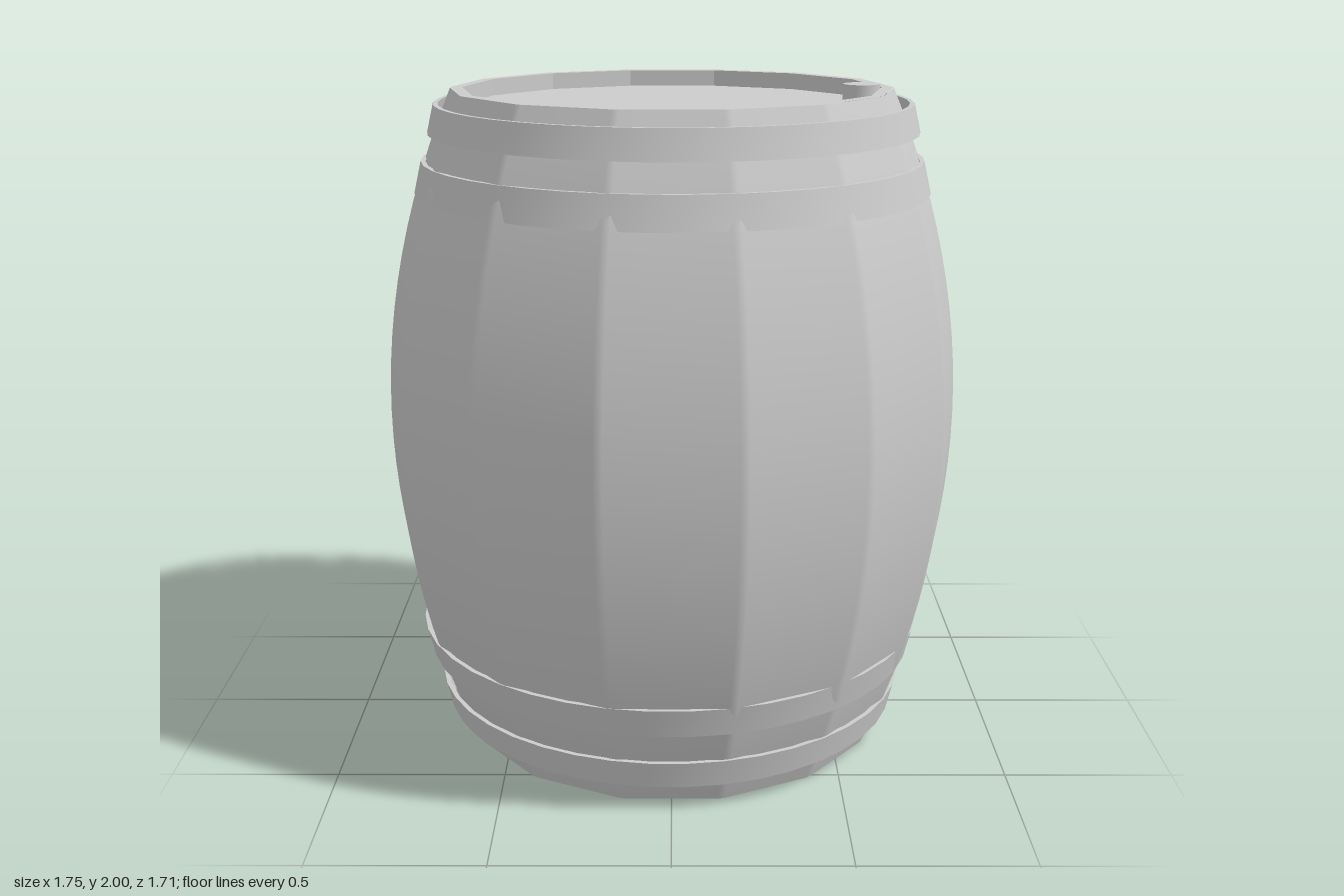
import * as THREE from 'three';
import { toCreasedNormals } from 'three/addons/utils/BufferGeometryUtils.js';

const SIDES = 14, TOP = 1.99;
const RAD = Math.PI / 180;

// Barrel radius at the stave corners for a given height
const bulge = (y) => 0.657 + 0.22 * (1 - (y / (TOP / 2) - 1) ** 2);

// Joins rows of points; closeRows / closeCols wrap the grid around
function grid(rows, closeRows, closeCols, caps) {
  const n = rows.length, m = rows[0].length, index = [];
  for (let i = 0; i < (closeRows ? n : n - 1); i++) {
    for (let j = 0; j < (closeCols ? m : m - 1); j++) {
      const i2 = (i + 1) % n, j2 = (j + 1) % m;
      const a = i * m + j, b = i2 * m + j, c = i2 * m + j2, d = i * m + j2;
      index.push(a, b, c, a, c, d);
    }
  }
  if (caps) {
    const e = (n - 1) * m;
    index.push(0, 1, 2, 0, 2, 3, e, e + 2, e + 1, e, e + 3, e + 2);
  }
  const geo = new THREE.BufferGeometry();
  geo.setAttribute('position', new THREE.Float32BufferAttribute(rows.flat(2), 3));
  geo.setIndex(index);
  geo.computeVertexNormals();
  return geo;
}

// Fourteen flat staves with softened corners, bulging in the middle
function staves() {
  const rows = [], levels = 24, soft = 0.035;
  const corner = (k) => [Math.cos(k * 2 * Math.PI / SIDES), -Math.sin(k * 2 * Math.PI / SIDES)];
  for (let k = 0; k < SIDES; k++) {
    const p = corner(k), q = corner(k + 1);
    for (const t of [soft, 1 - soft]) {
      const x = p[0] + (q[0] - p[0]) * t, z = p[1] + (q[1] - p[1]) * t;
      rows.push(Array.from({ length: levels + 1 }, (_, l) => {
        const y = TOP * l / levels, r = bulge(y);
        return [x * r, y, z * r];
      }));
    }
  }
  return grid(rows, true, false, false);
}

// Split metal band: xs and zs are [min, max] at the wide edge
function hoop({ y0, y1, xs, zs, taper, seam, gap, spring }) {
  const rows = [], steps = 42, thick = 0.014;
  const cx = (xs[0] + xs[1]) / 2, rx = (xs[1] - xs[0]) / 2;
  const cz = (zs[0] + zs[1]) / 2, rz = (zs[1] - zs[0]) / 2;
  for (let i = 0; i <= steps; i++) {
    const turn = gap / 2 + (360 - gap) * i / steps;
    const a = (seam + turn) * RAD;
    const lift = spring * Math.max(0, 1 - turn / 35);
    const at = (y, inset) => [
      cx + Math.cos(a) * (rx + lift - inset), y, cz - Math.sin(a) * (rz + lift - inset)];
    const low = Math.max(0, -taper), high = Math.max(0, taper);
    rows.push([at(y0, low), at(y1, high), at(y1, high + thick), at(y0, low + thick)]);
  }
  return toCreasedNormals(grid(rows, false, true, true), 0.6);
}

export function createModel() {
  const model = new THREE.Group();
  const material = new THREE.MeshStandardMaterial({ color: 0xcccccc });
  const flat = new THREE.MeshStandardMaterial({ color: 0xcccccc, flatShading: true });
  const add = (name, geo, mat = material) => {
    const mesh = new THREE.Mesh(geo, mat);
    mesh.name = name;
    model.add(mesh);
    return mesh;
  };

  add('staves', staves());

  // Rim around the recessed lid
  const rim = [[0.655, TOP], [0.62, TOP], [0.62, 1.935]].map(([r, y]) => new THREE.Vector2(r, y));
  add('rim', new THREE.LatheGeometry(rim, SIDES).rotateY(Math.PI / 2), flat);
  add('lid', new THREE.CircleGeometry(0.622, SIDES).rotateX(-Math.PI / 2)).position.y = 1.94;
  add('base', new THREE.CircleGeometry(0.656, SIDES).rotateX(Math.PI / 2));

  // Bung near the edge of the lid
  add('bung', toCreasedNormals(new THREE.CylinderGeometry(0.055, 0.055, 0.065, 16), 0.6))
    .position.set(0.56, 1.9675, 0.005);

  // Four hoops, narrowing toward the ends of the barrel
  const hoops = [
    { name: 'topHoop', y0: 1.865, y1: 1.95, xs: [-0.725, 0.735], zs: [-0.757, 0.726], taper: 0.02, seam: 140, gap: 4, spring: 0.025 },
    { name: 'upperHoop', y0: 1.69, y1: 1.785, xs: [-0.768, 0.772], zs: [-0.795, 0.765], taper: 0.022, seam: 51, gap: 0.8, spring: 0 },
    { name: 'lowerHoop', y0: 0.26, y1: 0.35, xs: [-0.79, 0.778], zs: [-0.795, 0.783], taper: -0.022, seam: 128, gap: 0.8, spring: 0 },
    { name: 'bottomHoop', y0: 0.075, y1: 0.16, xs: [-0.738, 0.727], zs: [-0.743, 0.73], taper: -0.02, seam: 128, gap: 0.8, spring: 0 },
  ];
  for (const h of hoops) add(h.name, hoop(h));

  return model;
}
